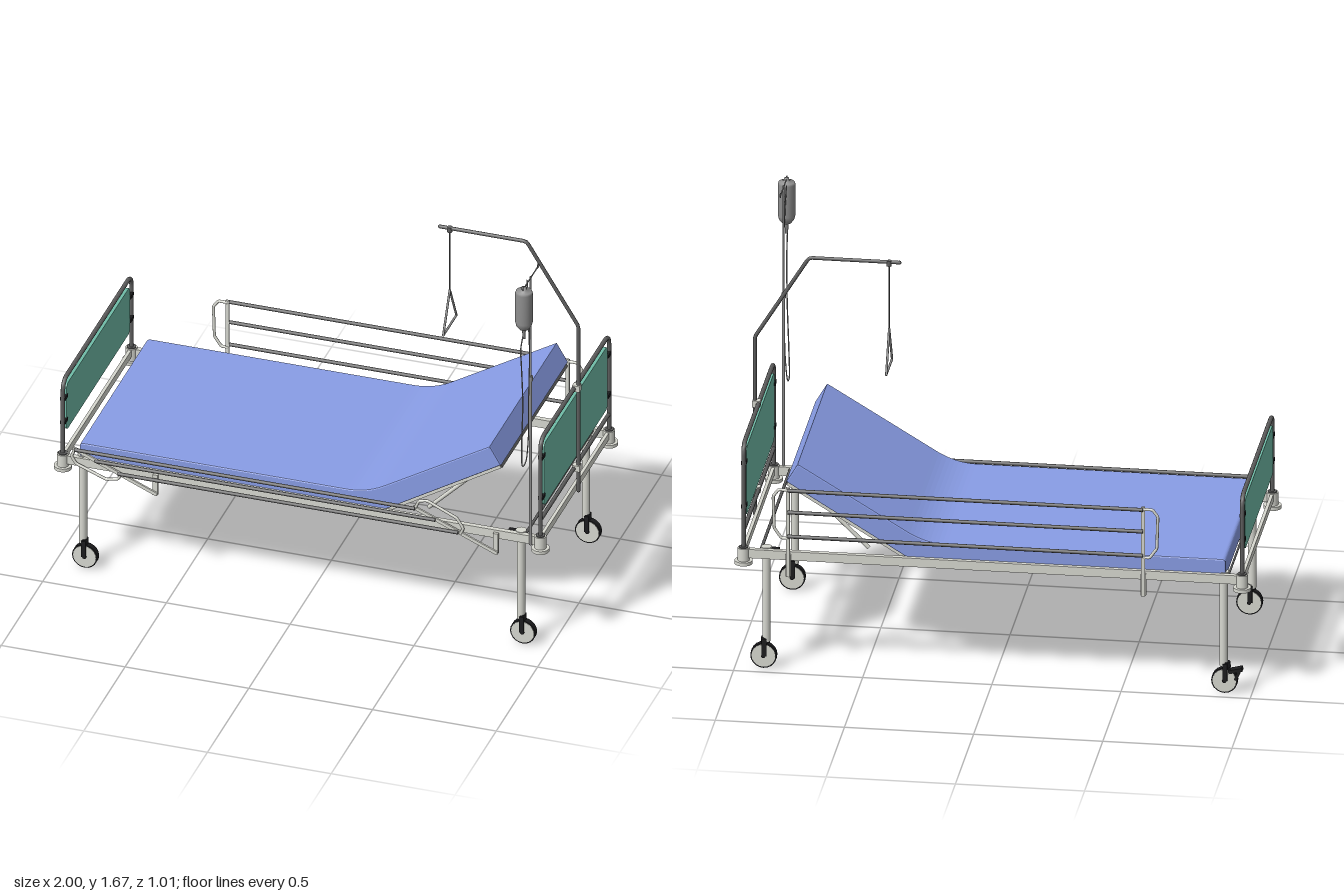
import * as THREE from 'three';
import { mergeGeometries } from 'three/addons/utils/BufferGeometryUtils.js';

const mat = (name, color) => Object.assign(new THREE.MeshStandardMaterial({ color }), { name });
const V = (p) => new THREE.Vector3(...p);

export function createModel() {
  const root = new THREE.Group();
  root.name = 'adjustableBed';
  const light = mat('paleMetal', 0xd8d9d1), dark = mat('darkMetal', 0x606060), black = mat('blackRubber', 0x1c1c1e);
  const blue = mat('mattressBlue', 0x899de6), green = mat('panelGreen', 0x70bca8), grey = mat('bottleGrey', 0x8f8f8f);
  const wire = mat('wireMesh', 0x62625f);
  const MID = -0.055, SIDES = [0.36, -0.47];

  const add = (name, geo, material, pos = [0, 0, 0], parent = root) => {
    const m = new THREE.Mesh(geo, material);
    m.name = name;
    m.position.set(...pos);
    parent.add(m);
    return m;
  };
  const box = (name, size, pos, material, parent) => add(name, new THREE.BoxGeometry(...size), material, pos, parent);
  const cyl = (name, r1, r2, h, pos, material, parent) => add(name, new THREE.CylinderGeometry(r1, r2, h, 20), material, pos, parent);

  // Straight rod between two points
  const rodGeo = (a, b, r, n = 10) => {
    const A = V(a), d = V(b).sub(A), g = new THREE.CylinderGeometry(r, r, d.length(), n);
    g.applyQuaternion(new THREE.Quaternion().setFromUnitVectors(new THREE.Vector3(0, 1, 0), d.clone().normalize()));
    return g.translate(...A.addScaledVector(d, 0.5).toArray());
  };
  const rod = (name, a, b, r, material, parent) => add(name, rodGeo(a, b, r), material, [0, 0, 0], parent);

  // Bent pipe: straight runs with rounded corners and round ends
  const pipe = (name, pts, r, bend, material, parent) => {
    const p = pts.map(V), path = new THREE.CurvePath();
    let from = p[0];
    for (let i = 1; i < p.length - 1; i++) {
      const a = p[i].clone().add(p[i - 1].clone().sub(p[i]).setLength(bend));
      const b = p[i].clone().add(p[i + 1].clone().sub(p[i]).setLength(bend));
      path.add(new THREE.LineCurve3(from, a));
      path.add(new THREE.QuadraticBezierCurve3(a, p[i], b));
      from = b;
    }
    path.add(new THREE.LineCurve3(from, p[p.length - 1]));
    const caps = [p[0], p[p.length - 1]].map((q) => new THREE.SphereGeometry(r, 8, 6).translate(q.x, q.y, q.z));
    add(name, mergeGeometries([new THREE.TubeGeometry(path, 110, r, 8), ...caps]), material, [0, 0, 0], parent);
  };

  // Mattress: side profile with a raised back section
  const s = new THREE.Shape();
  s.moveTo(-0.885, 0.478);
  s.lineTo(0.27, 0.478);
  s.quadraticCurveTo(0.3, 0.478, 0.33, 0.497);
  s.lineTo(0.795, 0.782);
  s.lineTo(0.755, 0.85);
  s.lineTo(0.34, 0.6);
  s.quadraticCurveTo(0.265, 0.553, 0.18, 0.552);
  s.lineTo(-0.885, 0.552);
  s.quadraticCurveTo(-0.895, 0.552, -0.895, 0.542);
  s.lineTo(-0.895, 0.488);
  s.quadraticCurveTo(-0.895, 0.478, -0.885, 0.478);
  add('mattress', new THREE.ExtrudeGeometry(s, {
    depth: 0.8, bevelThickness: 0.008, bevelSize: 0.005, bevelSegments: 2, curveSegments: 10,
  }), blue, [0, 0, MID - 0.4]);

  // Wire base, one flat section and one tilted section
  const wireBase = (name, length, x, y, tilt) => {
    const g = new THREE.Group();
    g.name = name;
    g.position.set(x, y, MID);
    g.rotation.z = tilt;
    root.add(g);
    const wires = [], nx = Math.round(length / 0.03), nz = 24;
    for (let i = 0; i <= nx; i++) wires.push(new THREE.BoxGeometry(0.007, 0.006, 0.78).translate((length * i) / nx, 0, 0));
    for (let i = 0; i <= nz; i++) wires.push(new THREE.BoxGeometry(length, 0.006, 0.007).translate(length / 2, -0.004, -0.39 + (0.78 * i) / nz));
    add('wires', mergeGeometries(wires), wire, [0, 0, 0], g);
    for (const z of [-0.392, 0.392]) box('baseEdge', [length, 0.012, 0.012], [length / 2, -0.004, z], tilt ? light : dark, g);
    for (const u of [0, length]) box('baseEnd', [0.012, 0.012, 0.79], [u, -0.004, 0], dark, g);
  };
  wireBase('flatBase', 1.16, -0.88, 0.472, 0);
  wireBase('backrestBase', 0.575, 0.305, 0.472, Math.atan(0.612));

  // Backrest spring and support arms
  rod('springRod', [0.4, 0.4, MID], [0.66, 0.66, MID], 0.007, light);
  rod('springBody', [0.4, 0.4, MID], [0.54, 0.54, MID], 0.01, black);
  rod('springLink', [0.23, 0.465, MID], [0.4, 0.4, MID], 0.006, light);
  for (const z of [-0.4, 0.29]) rod('backrestArm', [0.49, 0.5, z], [0.66, 0.67, z], 0.008, light);

  // Main frame
  for (const z of SIDES) box('sideBeam', [1.9, 0.036, 0.02], [0, 0.481, z], light);
  for (const x of [-0.965, 0.965]) box('endBeam', [0.013, 0.03, 0.83], [x, 0.485, MID], light);
  rod('footCrossbar', [-0.91, 0.49, -0.46], [-0.91, 0.49, 0.35], 0.004, dark);
  rod('headCrossbar', [0.9, 0.49, -0.46], [0.9, 0.49, 0.35], 0.006, dark);

  // Corner bumpers, legs and castors
  for (const x of [-0.965, 0.965]) for (const z of SIDES) {
    cyl('cornerPost', 0.023, 0.023, 0.055, [x, 0.475, z], light);
    cyl('bumper', 0.035, 0.035, 0.014, [x, 0.444, z], light);
    cyl('bumperCap', 0.018, 0.018, 0.008, [x, 0.503, z], dark);
  }
  for (const x of [-0.89, 0.88]) for (const z of [0.34, -0.445]) {
    const braked = x < 0 && z < 0;
    cyl('leg', 0.016, 0.016, 0.39, [x, 0.305, z], light);
    cyl('legSocket', 0.021, 0.021, 0.04, [x, 0.482, z], light);
    box('legLatch', [0.04, 0.016, 0.026], [x - 0.03 * Math.sign(x), 0.488, z], black);
    const c = new THREE.Group();
    c.name = 'castor';
    c.position.set(x + (braked ? -0.004 : 0.01), 0.052, z);
    root.add(c);
    cyl('tyre', 0.051, 0.051, 0.024, [0, 0, 0], black, c).rotation.x = Math.PI / 2;
    cyl('hub', 0.046, 0.046, 0.027, [0, 0, 0], light, c).rotation.x = Math.PI / 2;
    cyl('axle', 0.008, 0.008, 0.038, [0, 0, 0], black, c).rotation.x = Math.PI / 2;
    for (const k of [-1, 1]) box('forkPlate', [0.018, 0.07, 0.005], [-0.003, 0.035, k * 0.017], black, c);
    cyl('forkTop', 0.016, 0.018, 0.022, [-0.006, 0.064, 0], black, c);
    if (braked) {
      box('brakePedal', [0.055, 0.014, 0.032], [-0.042, 0.042, 0], black, c).rotation.z = -0.25;
      box('brakeArm', [0.012, 0.04, 0.03], [-0.05, 0.022, 0], black, c).rotation.z = 0.4;
    }
  }

  // End boards: bent tube, panel, clamps
  const board = (name, x, top, height) => {
    const g = new THREE.Group();
    g.name = name;
    g.position.x = x;
    root.add(g);
    pipe('boardTube', [[0, 0.49, 0.36], [0, top, 0.36], [0, top, -0.47], [0, 0.49, -0.47]], 0.009, 0.05, dark, g);
    const w = 0.385, h = height / 2, r = 0.022, p = new THREE.Shape();
    p.moveTo(-w + r, -h);
    for (const [cx, cy, a] of [[w - r, -h + r, -0.5], [w - r, h - r, 0], [-w + r, h - r, 0.5], [-w + r, -h + r, 1]])
      p.absarc(cx, cy, r, a * Math.PI, (a + 0.5) * Math.PI, false);
    const panel = add('panel', new THREE.ExtrudeGeometry(p, { depth: 0.012, bevelEnabled: false }), green, [-0.006, top - 0.03 - h, -0.05], g);
    panel.rotation.y = Math.PI / 2;
    for (const z of [0.345, -0.45]) for (const dy of [0.08, height - 0.02]) box('panelClamp', [0.02, 0.014, 0.036], [0, top - dy, z], black, g);
    return g;
  };
  board('footBoard', -0.965, 0.825, 0.205);
  const head = board('headBoard', 0.965, 0.93, 0.28);
  rod('lowerBar', [0, 0.573, 0.36], [0, 0.573, -0.47], 0.008, dark, head);

  // Side guards: hinged end loops joined by three rails
  const guard = (name, z, angle) => {
    const g = new THREE.Group(), out = Math.sign(z);
    g.name = name;
    g.position.z = z;
    root.add(g);
    const hinges = [-0.585, 0.79];
    hinges.forEach((x, i) => {
      const e = new THREE.Group(), k = i ? 1 : -1;
      e.name = 'guardEnd';
      e.position.set(x, 0.41, 0);
      e.rotation.z = angle;
      g.add(e);
      box('guardBar', [0.014, 0.37, 0.008], [0, 0.175, 0], light, e);
      pipe('guardLoop', [[0, 0.35, 0], [k * 0.037, 0.35, 0], [k * 0.057, 0.322, 0], [k * 0.053, 0.19, 0], [k * 0.025, 0.15, 0], [0, 0.15, 0]], 0.006, 0.007, light, e);
      box('hingePlate', [0.02, 0.09, 0.012], [x, 0.445, -out * 0.009], light, g);
    });
    for (const h of [0.35, 0.26, 0.16]) {
      const dx = -h * Math.sin(angle), y = 0.41 + h * Math.cos(angle);
      rod('guardRail', [hinges[0] + dx, y, out * 0.006], [hinges[1] + dx, y, out * 0.006], 0.0075, dark, g);
    }
  };
  guard('raisedGuard', -0.494, 0);
  guard('foldedGuard', 0.386, 1.17);

  // Lifting pole with hanging triangle grip
  pipe('liftingPole', [[0.98, 0.47, MID], [0.98, 1.205, MID], [0.77, 1.545, MID], [0.42, 1.545, MID]], 0.0075, 0.012, dark);
  for (const y of [0.573, 0.93]) box('poleClamp', [0.03, 0.026, 0.028], [0.973, y, MID], light);
  rod('gripStrap', [0.46, 1.545, MID], [0.46, 1.265, MID], 0.0025, dark);
  cyl('strapCollar', 0.01, 0.01, 0.022, [0.46, 1.54, MID], dark);
  const tri = [[0.46, 1.268, MID], [0.46, 1.11, 0.025], [0.46, 1.11, -0.135]];
  tri.forEach((a, i) => {
    rod('gripSide', a, tri[(i + 1) % 3], 0.0045, grey);
    add('gripCorner', new THREE.SphereGeometry(0.0045, 8, 6), grey, a);
  });

  // Drip stand
  const X = 0.928, PZ = 0.368;
  rod('dripPoleLower', [X, 0.46, PZ], [X, 1.21, PZ], 0.006, grey);
  rod('dripPoleUpper', [X, 1.2, PZ], [X, 1.66, PZ], 0.004, grey);
  cyl('dripCollar', 0.009, 0.009, 0.02, [X, 1.205, PZ], grey);
  rod('dripHanger', [X, 1.655, 0.285], [X, 1.655, 0.45], 0.0025, grey);
  for (const z of [0.278, 0.455]) add('dripHook', new THREE.TorusGeometry(0.008, 0.0022, 6, 14), grey, [X, 1.657, z]).rotation.y = Math.PI / 2;

  // Bottle and its hose
  const outline = [[0, 1.43], [0.006, 1.43], [0.007, 1.468], [0.018, 1.474], [0.029, 1.488], [0.034, 1.506], [0.034, 1.634], [0.031, 1.643], [0.01, 1.646], [0.009, 1.66], [0, 1.66]];
  add('dripBottle', new THREE.LatheGeometry(outline.map((q) => new THREE.Vector2(...q)), 24), grey, [X, 0, 0.449]);
  const hose = [[0.449, 1.44], [0.5, 1.41], [0.498, 1.34], [0.465, 1.15], [0.45, 0.95], [0.425, 0.84], [0.395, 0.84], [0.388, 0.93], [0.405, 1.13], [0.4, 1.35], [0.405, 1.55], [0.385, 1.655]];
  add('dripHose', new THREE.TubeGeometry(new THREE.CatmullRomCurve3(
    hose.map(([z, y], i) => new THREE.Vector3(X - 0.004 + 0.01 * Math.sin(i * 0.9), y, z))), 90, 0.0025, 6), grey);

  return root;
}
